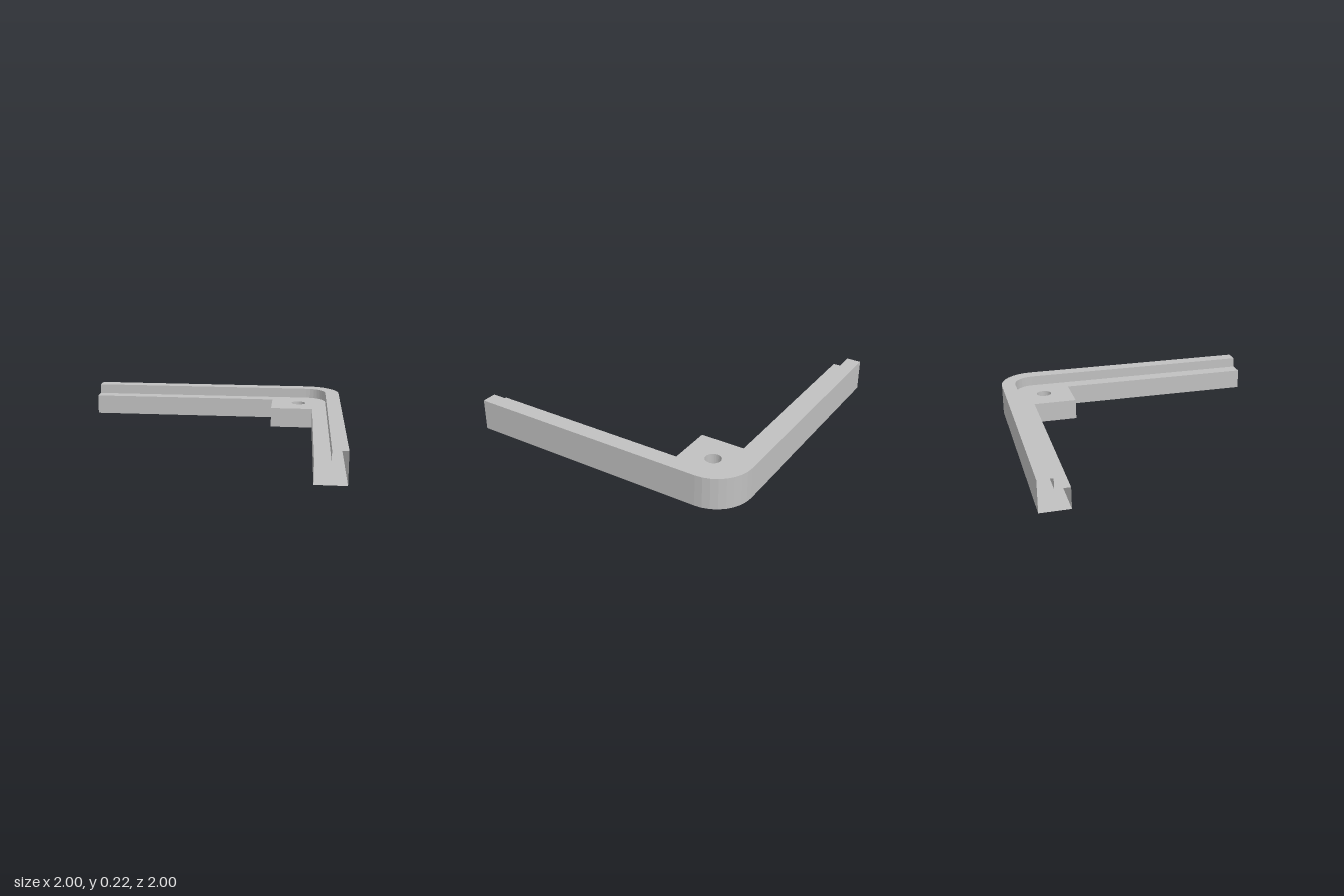
import * as THREE from 'three';

const TOP = 0.225, LEDGE = 0.15;
const V = (x, z) => new THREE.Vector2(x, z); // plan point (x, z)

// L-shaped line offset inward from the outer edge, with a rounded corner
function bend(inset) {
  const c = 0.74, r = 1 - c - inset, n = 8;
  const pts = [V(-1, -1 + inset)];
  for (let i = 0; i <= n; i++) {
    const a = (i / n) * Math.PI / 2;
    pts.push(V(c + r * Math.sin(a), -c - r * Math.cos(a)));
  }
  pts.push(V(1 - inset, 1));
  return pts;
}

// Upright strip along a plan line
function wall(pts, y0, y1) {
  const pos = [];
  for (let i = 0; i < pts.length - 1; i++) {
    const a = pts[i], b = pts[i + 1];
    pos.push(a.x, y0, a.y, b.x, y0, b.y, b.x, y1, b.y);
    pos.push(a.x, y0, a.y, b.x, y1, b.y, a.x, y1, a.y);
  }
  const g = new THREE.BufferGeometry();
  g.setAttribute('position', new THREE.Float32BufferAttribute(pos, 3));
  g.computeVertexNormals();
  return g;
}

// Flat sheet filling a plan outline, facing up or down
function sheet(pts, y, up, hole) {
  const s = up ? -1 : 1;
  const flip = (list) => list.map((p) => V(p.x, s * p.y));
  const shape = new THREE.Shape(flip(pts));
  if (hole) shape.holes.push(new THREE.Path(flip(hole)));
  return new THREE.ShapeGeometry(shape).rotateX(s * Math.PI / 2).translate(0, y, 0);
}

export function createModel() {
  const group = new THREE.Group();
  const grey = new THREE.MeshStandardMaterial({ color: 0xc0c0c0, side: THREE.DoubleSide, flatShading: true });
  grey.name = 'grey';
  const add = (name, geometry) => {
    const mesh = new THREE.Mesh(geometry, grey);
    mesh.name = name;
    group.add(mesh);
  };

  const outer = bend(0), rim = bend(0.105);
  // Inner edge of the ledge, stepping out around the corner pad
  const inner = [V(-1, -0.79), V(0.465, -0.79), V(0.465, -0.47), V(0.785, -0.47), V(0.785, 1)];
  const innerBack = [...inner].reverse();
  const hole = [];
  for (let i = 0; i < 32; i++) {
    const a = (i / 32) * Math.PI * 2;
    hole.push(V(0.678 + 0.056 * Math.cos(a), -0.683 + 0.056 * Math.sin(a)));
  }

  // Hollow shell, open at both arm ends
  add('outerWall', wall([...outer].reverse(), 0, TOP));
  add('rimTop', sheet([...outer, ...[...rim].reverse()], TOP, true));
  add('rimInnerWall', wall(rim, LEDGE, TOP));
  add('ledgeAndPadTop', sheet([...rim, ...innerBack], LEDGE, true, hole));
  add('ledgeAndPadWall', wall(inner, 0, LEDGE));
  add('bottom', sheet([...outer, ...innerBack], 0, false, hole));
  add('screwHoleWall', wall([...hole, hole[0]], 0, LEDGE));
  return group;
}
